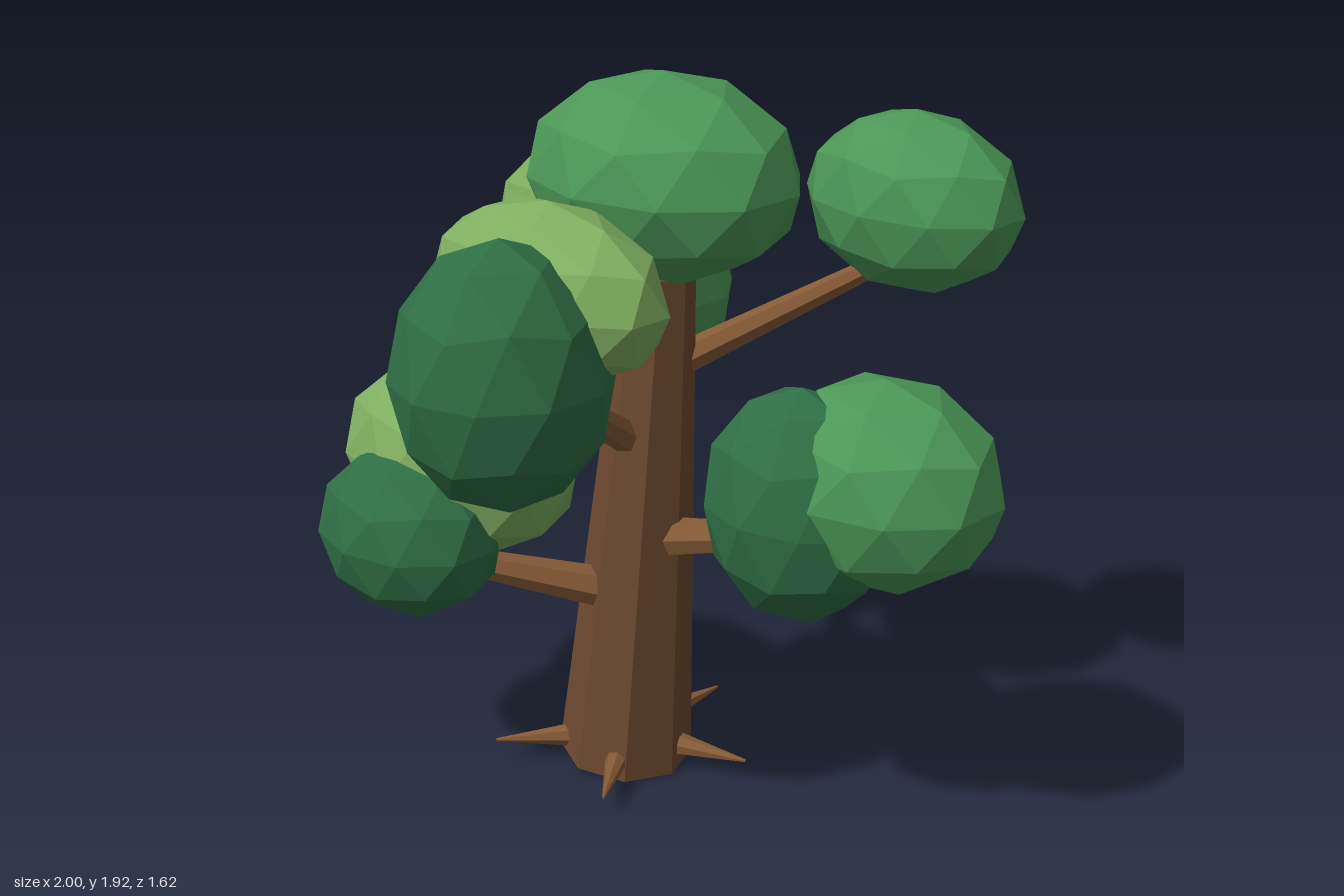
import * as THREE from 'three';

const mat = (color) => new THREE.MeshStandardMaterial({ color, flatShading: true });

export function createModel() {
  const tree = new THREE.Group();
  tree.name = 'tree';

  const bark = mat(0x6f4a30);
  const wood = mat(0x855a36);
  const mid = mat(0x4b9656);
  const dark = mat(0x2f6e44);
  const light = mat(0x7fae60);

  // Tapered limb running from one point to another
  function limb(name, from, to, r0, r1, sides, material) {
    const a = new THREE.Vector3(...from);
    const b = new THREE.Vector3(...to);
    const dir = b.clone().sub(a);
    const mesh = new THREE.Mesh(new THREE.CylinderGeometry(r1, r0, dir.length(), sides), material);
    mesh.position.copy(a).add(b).multiplyScalar(0.5);
    mesh.quaternion.setFromUnitVectors(new THREE.Vector3(0, 1, 0), dir.normalize());
    mesh.name = name;
    tree.add(mesh);
  }

  // Leaning eight-sided trunk
  limb('trunk', [-0.06, 0.015, -0.035], [0.065, 1.42, -0.035], 0.18, 0.09, 8, bark);

  // Branches reaching into the foliage
  const branches = [
    ['rightSideBranch', [0.05, 0.68, -0.04], [0.55, 0.83, -0.08], 0.055, 0.03],
    ['lowFrontBranch', [-0.05, 0.54, 0.07], [-0.33, 0.67, 0.45], 0.055, 0.03],
    ['highFrontBranch', [0.03, 0.97, 0.03], [0.11, 1.28, 0.48], 0.045, 0.028],
    ['backBranch', [0.06, 1.15, -0.06], [0.37, 1.4, -0.57], 0.045, 0.025],
    ['leftSideBranch', [-0.02, 0.92, -0.04], [-0.46, 1.1, -0.42], 0.05, 0.03],
  ];
  for (const [name, from, to, r0, r1] of branches) limb(name, from, to, r0, r1, 7, wood);

  // Five pointed roots around the foot
  for (let i = 0; i < 5; i++) {
    const t = -Math.PI / 2 + (i * Math.PI * 2) / 5;
    const at = (r) => [-0.06 + r * Math.cos(t), 0.06, -0.04 + r * Math.sin(t)];
    limb('root', at(0.1), at(0.36), 0.04, 0.004, 7, wood);
  }

  // Faceted ball with a corner at each pole, shared by all leaf clumps
  const ball = new THREE.IcosahedronGeometry(1, 1);
  ball.rotateX(-Math.atan((1 + Math.sqrt(5)) / 2));
  ball.rotateY(Math.PI / 2);

  // Leaf clumps: name, material, centre, radii
  const clumps = [
    ['crownLeaves', mid, [0.07, 1.66, -0.04], [0.38, 0.26, 0.31]],
    ['frontLightLeaves', light, [0.065, 1.45, 0.34], [0.365, 0.22, 0.2]],
    ['frontDarkLeaves', dark, [0.12, 1.297, 0.54], [0.27, 0.335, 0.27]],
    ['backLeaves', mid, [0.41, 1.555, -0.595], [0.315, 0.235, 0.215]],
    ['outerSideLightLeaves', light, [-0.655, 1.25, -0.5], [0.365, 0.3, 0.215]],
    ['innerSideLeaves', mid, [-0.455, 1.175, -0.44], [0.3, 0.335, 0.28]],
    ['lowLightLeaves', light, [-0.385, 0.875, 0.25], [0.365, 0.265, 0.27]],
    ['lowDarkLeaves', dark, [-0.36, 0.725, 0.45], [0.27, 0.225, 0.22]],
    ['outerSideLeaves', mid, [0.695, 0.995, -0.165], [0.32, 0.265, 0.275]],
    ['innerSideDarkLeaves', dark, [0.54, 0.925, -0.04], [0.26, 0.305, 0.215]],
  ];
  for (const [name, material, centre, radii] of clumps) {
    const mesh = new THREE.Mesh(ball, material);
    mesh.position.set(...centre);
    mesh.scale.set(...radii);
    mesh.name = name;
    tree.add(mesh);
  }

  return tree;
}
